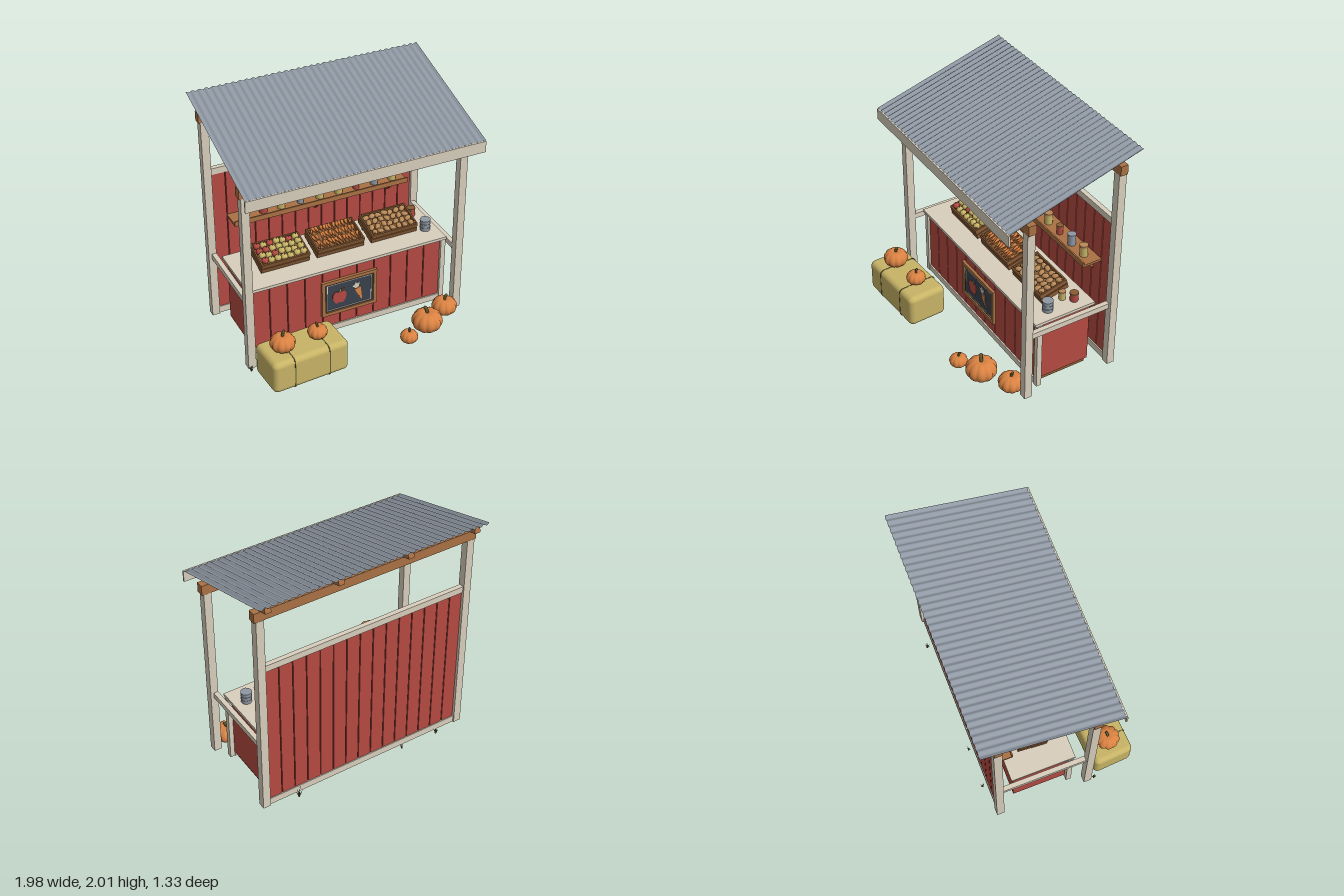
import * as THREE from 'three';
import { RoundedBoxGeometry } from 'three/addons/geometries/RoundedBoxGeometry.js';

const mat = (name, color, side = THREE.FrontSide) => {
  const m = new THREE.MeshStandardMaterial({ color, side });
  m.name = name;
  return m;
};

export function createModel() {
  const model = new THREE.Group();
  model.name = 'farmStand';
  const metal = mat('metal', 0x8f98a3, THREE.DoubleSide);
  const cream = mat('creamPaint', 0xd8cfbd);
  const red = mat('barnRed', 0xb54a42);
  const wood = mat('wood', 0xaa7144);
  const crateWood = mat('crateWood', 0x8a5c36);
  const straw = mat('straw', 0xc8b466);
  const orange = mat('pumpkinOrange', 0xda8242);
  const slate = mat('slate', 0x39414c);
  const tan = mat('potatoTan', 0xb98a58);
  const grass = mat('stemOlive', 0x625c34, THREE.DoubleSide);

  const add = (name, geo, m, x = 0, y = 0, z = 0, parent = model) => {
    const mesh = new THREE.Mesh(geo, m);
    mesh.name = name;
    mesh.position.set(x, y, z);
    parent.add(mesh);
    return mesh;
  };
  // Box given by its min and max on each axis
  const box = (name, m, x0, x1, y0, y1, z0, z1, parent = model) =>
    add(name, new THREE.BoxGeometry(x1 - x0, y1 - y0, z1 - z0), m,
      (x0 + x1) / 2, (y0 + y1) / 2, (z0 + z1) / 2, parent);
  const group = (name, x, y, z, parent = model) => {
    const g = new THREE.Group();
    g.name = name;
    g.position.set(x, y, z);
    parent.add(g);
    return g;
  };
  let seed = 7;
  const rnd = () => (seed = (seed * 16807) % 2147483647) / 2147483647;

  // Posts, side rails and corner trim
  for (const s of [-1, 1]) {
    const post = (name, h, z) => add(name, new THREE.BoxGeometry(0.065, h, 0.065), cream, s * 0.918, h / 2, z);
    post('frontPost', 1.57, 0.25);
    post('backPost', 1.81, -0.522);
    add('sideRail', new THREE.BoxGeometry(0.04, 0.048, 0.71), cream, s * 0.905, 0.582, -0.135);
    add('cornerTrim', new THREE.BoxGeometry(0.042, 0.605, 0.045), cream, s * 0.857, 0.3025, 0.107);
  }

  // Roof frame
  const slope = Math.atan(0.302);
  box('frontBeam', wood, -0.965, 0.965, 1.57, 1.655, 0.218, 0.284);
  box('backBeam', wood, -0.965, 0.965, 1.81, 1.89, -0.553, -0.49);
  for (const x of [-0.9, -0.3, 0.3, 0.9])
    add('rafter', new THREE.BoxGeometry(0.05, 0.046, 1.097), wood, x, 1.797, -0.115).rotation.x = slope;

  // Corrugated roof sheet
  const waves = 36, sheet = new THREE.PlaneGeometry(1.98, 1.172, waves * 8, 1);
  const sp = sheet.attributes.position;
  for (let i = 0; i < sp.count; i++)
    sp.setZ(i, 0.007 * Math.cos((sp.getX(i) / 1.98 + 0.5) * waves * Math.PI * 2));
  sheet.computeVertexNormals();
  add('roofSheet', sheet, metal, 0, 1.828, -0.104).rotation.x = slope - Math.PI / 2;
  box('fascia', cream, -0.99, 0.99, 1.565, 1.66, 0.452, 0.466);

  // Back wall of separate boards
  for (let i = 0; i < 15; i++) {
    const x = -0.885 + i * 0.118;
    box('wallBoard', red, x + 0.004, x + 0.114, 0.05, 1.34, -0.534, -0.51);
  }
  box('wallTopRail', cream, -0.886, 0.886, 1.33, 1.385, -0.542, -0.502);
  box('wallBottomRail', cream, -0.886, 0.886, 0, 0.06, -0.542, -0.502);

  // Counter
  box('counterBase', crateWood, -0.82, 0.82, 0, 0.05, -0.355, 0.08);
  box('counterBody', red, -0.84, 0.84, 0.045, 0.605, -0.37, 0.09);
  for (let i = 0; i < 11; i++) {
    const x = -0.837 + i * 0.1522;
    box('counterBoard', red, x + 0.004, x + 0.148, 0.05, 0.6, 0.085, 0.112);
  }
  box('counterBottomTrim', cream, -0.838, 0.838, 0, 0.055, 0.08, 0.124);
  box('counterTop', cream, -0.875, 0.875, 0.605, 0.63, -0.395, 0.147);

  // Chalkboard sign
  const sign = group('chalkboardSign', 0, 0.335, 0.117);
  box('slatePanel', slate, -0.22, 0.22, -0.14, 0.14, 0, 0.013, sign);
  for (const s of [-1, 1]) {
    add('frameSide', new THREE.BoxGeometry(0.03, 0.33, 0.024), wood, s * 0.23, 0, 0.012, sign);
    add('frameRail', new THREE.BoxGeometry(0.43, 0.03, 0.024), wood, 0, s * 0.15, 0.012, sign);
    add('chalkLineSide', new THREE.BoxGeometry(0.005, 0.24, 0.004), cream, s * 0.195, 0, 0.014, sign);
    add('chalkLineRail', new THREE.BoxGeometry(0.39, 0.005, 0.004), cream, 0, s * 0.12, 0.014, sign);
  }
  const plate = (name, m, pts, x, y, curved) => {
    const v = pts.map(p => new THREE.Vector2(p[0], p[1]));
    const shape = new THREE.Shape();
    if (curved) shape.setFromPoints(new THREE.SplineCurve([...v, v[0]]).getPoints(32));
    else shape.setFromPoints(v);
    return add(name, new THREE.ExtrudeGeometry(shape, { depth: 0.005, bevelEnabled: false }), m, x, y, 0.013, sign);
  };
  plate('paintedApple', red, [[0, 0.045], [-0.04, 0.055], [-0.062, 0.01], [-0.035, -0.055], [0, -0.05],
    [0.035, -0.055], [0.062, 0.01], [0.04, 0.055]], -0.088, -0.012, true);
  plate('paintedStem', cream, [[-0.004, 0.04], [0.004, 0.04], [0.012, 0.07], [0.004, 0.07]], -0.088, -0.008);
  plate('paintedLeaf', grass, [[0.005, 0.05], [0.03, 0.055], [0.045, 0.075], [0.02, 0.07]], -0.088, -0.008);
  plate('paintedCarrot', orange, [[-0.028, 0.04], [0.028, 0.04], [0.006, -0.08], [-0.004, -0.08]], 0.085, -0.01).rotation.z = 0.3;
  plate('paintedCarrotTop', cream, [[-0.012, 0.03], [0.012, 0.03], [0.038, 0.075], [0.014, 0.068], [0, 0.095],
    [-0.014, 0.068], [-0.038, 0.075]], 0.078, 0.003).rotation.z = 0.3;

  // Shelf with lip and brackets
  box('shelf', wood, -0.77, 0.77, 0.912, 0.932, -0.51, -0.342);
  box('shelfLip', wood, -0.77, 0.77, 0.915, 0.957, -0.352, -0.34);
  const bracket = new THREE.ExtrudeGeometry(new THREE.Shape([new THREE.Vector2(0, 0),
    new THREE.Vector2(0.14, 0), new THREE.Vector2(0, -0.13)]), { depth: 0.022, bevelEnabled: false });
  for (const x of [-0.665, 0, 0.665])
    add('shelfBracket', bracket, wood, x + 0.011, 0.914, -0.505).rotation.y = -Math.PI / 2;

  // Jars
  const jar = (x, y, z, r, h, m, lid = cream) => {
    const g = group('jar', x, y, z);
    add('jarBody', new THREE.CylinderGeometry(r, r, h * 0.82, 14), m, 0, h * 0.41, 0, g);
    add('jarLid', new THREE.CylinderGeometry(r * 1.06, r * 1.06, h * 0.18, 14), lid, 0, h * 0.91, 0, g);
  };
  [straw, red, straw, metal, straw, straw, red, metal, straw].forEach((m, i) => {
    const small = i === 0 || i === 3 || i === 6;
    jar([-0.675, -0.495, -0.34, -0.17, 0, 0.17, 0.33, 0.495, 0.66][i], 0.932, -0.42,
      small ? 0.027 : 0.033, small ? 0.08 : 0.1, m, m === straw ? tan : m === red ? crateWood : metal);
  });
  jar(0.71, 0.63, -0.2, 0.027, 0.075, straw, tan);
  jar(0.77, 0.63, -0.27, 0.034, 0.075, red, crateWood);
  for (let i = 0; i < 3; i++) {
    add('tin', new THREE.CylinderGeometry(0.042, 0.042, 0.028, 16), metal, 0.77, 0.646 + i * 0.032, -0.028);
    add('tinRim', new THREE.CylinderGeometry(0.045, 0.045, 0.005, 16), metal, 0.77, 0.662 + i * 0.032, -0.028);
  }

  // Tilted produce crates; local z runs from 0 (front) to -0.25
  const crate = (name, x) => {
    const g = group(name, x, 0.634, -0.03);
    g.rotation.x = 0.25;
    box('crateFloor', crateWood, -0.2, 0.2, 0, 0.045, -0.245, -0.005, g);
    for (const y of [0.004, 0.052]) {
      for (const z of [-0.25, -0.012]) box('crateSlat', crateWood, -0.208, 0.208, y, y + 0.038, z, z + 0.012, g);
      for (const sx of [-0.208, 0.196]) box('crateEnd', crateWood, sx, sx + 0.012, y, y + 0.038, -0.24, -0.01, g);
    }
    for (const sx of [-0.196, 0.176]) for (const z of [-0.238, -0.032])
      box('cratePost', crateWood, sx, sx + 0.02, 0, 0.1, z, z + 0.02, g);
    box('crateRiser', crateWood, x - 0.18, x + 0.18, 0.63, 0.675, -0.26, -0.23);
    return g;
  };
  const apples = crate('appleCrate', -0.482), carrots = crate('carrotCrate', 0), potatoes = crate('potatoCrate', 0.482);
  const ball = new THREE.SphereGeometry(0.029, 12, 8);
  for (let r = 0; r < 4; r++) for (let c = 0; c < 7; c++) {
    const x = -0.165 + c * 0.055, z = -0.04 - r * 0.056;
    const a = add('apple', ball, rnd() < 0.5 ? red : straw, x, 0.078 + rnd() * 0.022, z, apples);
    a.scale.y = 0.9;
    add('appleStem', new THREE.CylinderGeometry(0.002, 0.002, 0.014, 5), grass, x, a.position.y + 0.028, z, apples);
    const p = add('potato', ball, tan, x, 0.07 + rnd() * 0.018, z, potatoes);
    p.scale.set(1.1, 0.7, 0.8);
    p.rotation.y = rnd() * 3;
  }
  const carrot = new THREE.ConeGeometry(0.015, 0.09, 8).rotateX(Math.PI / 2);
  for (let r = 0; r < 3; r++) for (let c = 0; c < 13; c++) {
    const k = add('carrot', carrot, orange, -0.17 + c * 0.0283, 0.07 + rnd() * 0.02, -0.052 - r * 0.072, carrots);
    k.rotation.y = (rnd() - 0.5) * 0.6;
  }

  // Straw bale with two strings
  const bale = group('strawBale', -0.578, 0.142, 0.478);
  bale.rotation.y = 0.06;
  add('baleBody', new RoundedBoxGeometry(0.655, 0.28, 0.34, 4, 0.045), straw, 0, 0, 0, bale);
  const w = 0.172, h = 0.142, q = 0.045, loop = new THREE.Shape();
  loop.moveTo(-w + q, -h).lineTo(w - q, -h).quadraticCurveTo(w, -h, w, -h + q).lineTo(w, h - q)
    .quadraticCurveTo(w, h, w - q, h).lineTo(-w + q, h).quadraticCurveTo(-w, h, -w, h - q)
    .lineTo(-w, -h + q).quadraticCurveTo(-w, -h, -w + q, -h);
  const string = new THREE.ExtrudeGeometry(loop, { depth: 0.008, bevelEnabled: false });
  for (const x of [-0.15, 0.15]) add('baleString', string, grass, x, 0, 0, bale).rotation.y = Math.PI / 2;

  // Ribbed pumpkins
  const pumpkin = (x, y, z, r, height, turn) => {
    const g = group('pumpkin', x, y, z);
    g.rotation.y = turn;
    const geo = new THREE.SphereGeometry(1, 60, 16), p = geo.attributes.position;
    for (let i = 0; i < p.count; i++) {
      const px = p.getX(i), py = p.getY(i), pz = p.getZ(i), ring = Math.hypot(px, pz);
      const rib = 0.9 + 0.1 * Math.sqrt(Math.abs(Math.cos(Math.atan2(pz, px) * 5)));
      const dip = 1 - 0.22 * Math.exp(-ring * ring * 9);
      p.setXYZ(i, px * r * rib, (py * dip * 0.53 + 0.47) * height, pz * r * rib);
    }
    geo.computeVertexNormals();
    add('pumpkinBody', geo, orange, 0, 0, 0, g);
    const curve = new THREE.QuadraticBezierCurve3(new THREE.Vector3(0, height * 0.8, 0),
      new THREE.Vector3(0, height * 1.08, 0), new THREE.Vector3(r * 0.16, height * 1.16, 0));
    add('pumpkinStem', new THREE.TubeGeometry(curve, 6, r * 0.11, 7), grass, 0, 0, 0, g);
    add('stemCap', new THREE.SphereGeometry(r * 0.11, 7, 5), grass, r * 0.16, height * 1.16, 0, g);
  };
  pumpkin(-0.745, 0.278, 0.49, 0.102, 0.142, 0.4);
  pumpkin(-0.44, 0.278, 0.465, 0.08, 0.11, 2);
  pumpkin(0.345, 0, 0.52, 0.074, 0.105, 1);
  pumpkin(0.555, 0, 0.435, 0.128, 0.18, 2.6);
  pumpkin(0.79, 0, 0.305, 0.106, 0.145, 0.2);

  // Grass tufts of thin leaning blades
  for (const [x, z, s] of [[0.65, -0.59, 1], [-0.34, -0.58, 0.6], [-0.68, -0.58, 0.7], [-0.94, 0.31, 0.7]]) {
    const tuft = group('grassTuft', x, 0, z);
    for (let i = 0; i < 7; i++) {
      const len = s * (0.06 + rnd() * 0.03), blade = new THREE.ConeGeometry(0.006, len, 4).translate(0, len / 2, 0);
      const b = add('grassBlade', blade, grass, 0, 0, 0, tuft);
      b.rotation.set(0.15 + rnd() * 0.35, i * 0.9, 0, 'YXZ');
    }
  }
  return model;
}
